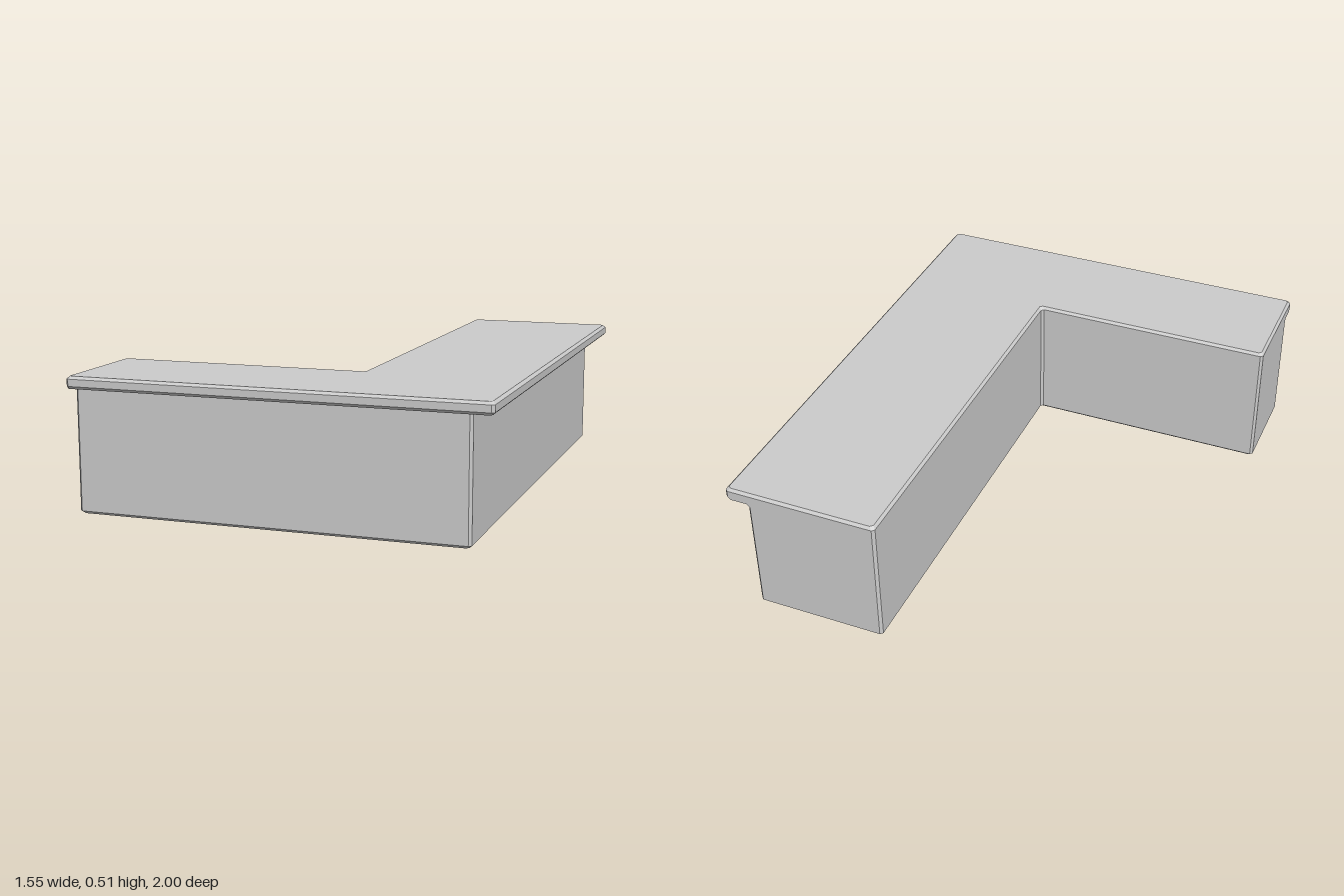
import * as THREE from 'three';

const BEVEL = 0.01;

// L-shaped outline in [x, z], counter-clockwise from above, with bevelled corners.
// reach 0..1 slides the two outer walls from the base out to the counter edge.
function outline(reach, inset) {
  const left = -0.775 + inset, right = 0.686 + 0.089 * reach - inset;
  const front = 0.932 + 0.068 * reach - inset, back = -1 + inset;
  const innerX = 0.18 + inset, innerZ = 0.55 + inset;
  const corners = [
    [left, front], [right, front], [right, back],
    [innerX, back], [innerX, innerZ], [left, innerZ],
  ].map(([x, z]) => new THREE.Vector2(x, z));
  const loop = [];
  corners.forEach((p, i) => {
    for (const q of [corners[(i + 5) % 6], corners[(i + 1) % 6]]) {
      loop.push(q.clone().sub(p).setLength(BEVEL).add(p));
    }
  });
  return loop;
}

// Skins a stack of [y, reach, inset] outlines, optionally closing either end.
function stack(levels, capBottom, capTop) {
  const loops = levels.map(([, reach, inset]) => outline(reach, inset));
  const n = loops[0].length;
  const positions = [], index = [];
  loops.forEach((loop, k) => loop.forEach((p) => positions.push(p.x, levels[k][0], p.y)));
  for (let k = 0; k < loops.length - 1; k++) {
    for (let i = 0; i < n; i++) {
      const a = k * n + i, b = k * n + (i + 1) % n;
      index.push(a, b, b + n, a, b + n, a + n);
    }
  }
  const cap = (k, up) => {
    const flat = loops[k].map((p) => new THREE.Vector2(p.x, -p.y));
    for (const [a, b, c] of THREE.ShapeUtils.triangulateShape(flat, [])) {
      const tri = up ? [a, b, c] : [a, c, b];
      index.push(...tri.map((v) => v + k * n));
    }
  };
  if (capBottom) cap(0, false);
  if (capTop) cap(loops.length - 1, true);
  const geometry = new THREE.BufferGeometry();
  geometry.setAttribute('position', new THREE.Float32BufferAttribute(positions, 3));
  geometry.setIndex(index);
  const flatGeometry = geometry.toNonIndexed();
  flatGeometry.computeVertexNormals();
  return flatGeometry;
}

export function createModel() {
  const group = new THREE.Group();
  group.name = 'cornerCounter';
  const material = new THREE.MeshStandardMaterial({ color: 0xcccccc, flatShading: true });
  const add = (name, geometry) => {
    const mesh = new THREE.Mesh(geometry, material);
    mesh.name = name;
    group.add(mesh);
  };

  // Base with a bevelled foot and a small flare under the overhang
  add('base', stack([
    [0, 0, BEVEL], [0.01, 0, 0], [0.456, 0, 0], [0.467, 0.14, 0],
  ], true, false));

  // Counter slab overhanging the two outer walls
  add('countertop', stack([
    [0.467, 0.14, 0], [0.467, 0.88, 0], [0.477, 1, 0], [0.503, 1, 0], [0.513, 1, BEVEL],
  ], false, true));

  return group;
}
